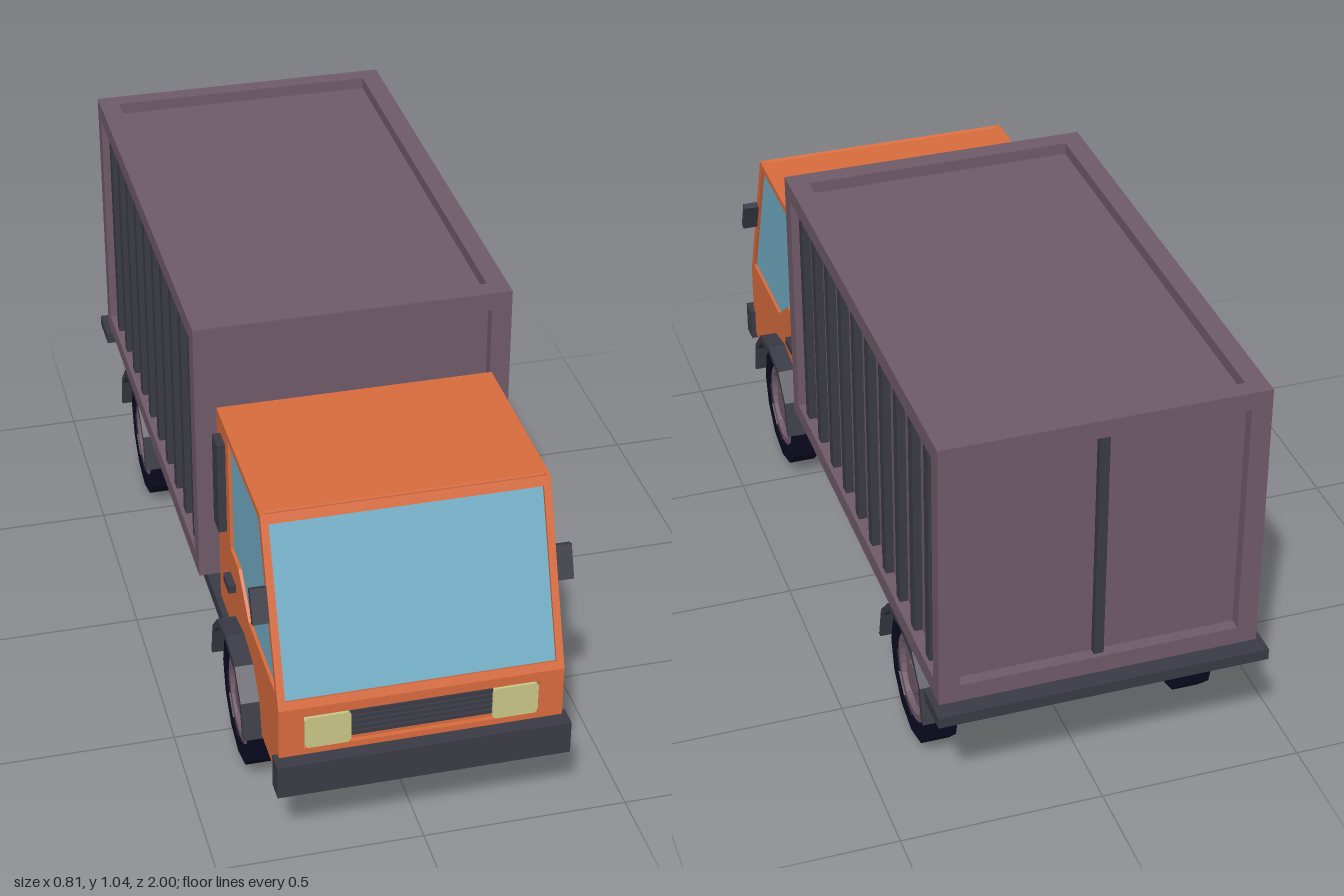
import * as THREE from 'three';

const mat = (name, color) => {
  const m = new THREE.MeshStandardMaterial({ color, flatShading: true });
  m.name = name;
  return m;
};

export function createModel() {
  const orange = mat('cab orange', 0xd96c3e);
  const mauve = mat('cargo mauve', 0x705b69);
  const grey = mat('trim dark grey', 0x3b3b46);
  const navy = mat('tyre navy', 0x0d0b24);
  const glass = mat('window blue', 0x72aec6);
  const lamp = mat('headlight cream', 0xcbc888);

  const truck = new THREE.Group();
  truck.name = 'truck';

  const group = (name) => {
    const g = new THREE.Group();
    g.name = name;
    truck.add(g);
    return g;
  };
  const add = (parent, name, geo, material) => {
    const mesh = new THREE.Mesh(geo, material);
    mesh.name = name;
    parent.add(mesh);
    return mesh;
  };
  // Box given by its extents
  const box = (parent, name, material, x0, x1, y0, y1, z0, z1) => {
    const geo = new THREE.BoxGeometry(x1 - x0, y1 - y0, z1 - z0);
    geo.translate((x0 + x1) / 2, (y0 + y1) / 2, (z0 + z1) / 2);
    return add(parent, name, geo, material);
  };
  const extrude = (pts, depth, hole) => {
    const toVec = (p) => new THREE.Vector2(p[0], p[1]);
    const shape = new THREE.Shape(pts.map(toVec));
    if (hole) shape.holes.push(new THREE.Path(hole.map(toVec)));
    return new THREE.ExtrudeGeometry(shape, { depth, bevelEnabled: false });
  };
  // Side outline in (z, y), extruded from x0 to x1
  const sideExtrude = (pts, x0, x1, hole) =>
    extrude(pts, x1 - x0, hole).rotateY(-Math.PI / 2).translate(x1, 0, 0);
  const rect = (x0, x1, y0, y1) => [[x0, y0], [x1, y0], [x1, y1], [x0, y1]];
  // Extents on the given side, lowest first
  const span = (s, a, b) => (s > 0 ? [a, b] : [-b, -a]);

  // Cab: inner core with outer skins that frame the windows
  const cab = group('cab');
  const arch = [[0.332, 0.29], [0.448, 0.29], [0.51, 0.342], [0.603, 0.36],
    [0.696, 0.342], [0.755, 0.28], [0.775, 0.2]];
  const core = [...arch, [0.951, 0.2], [0.951, 0.402], [0.783, 0.835], [0.332, 0.835]];
  const skin = [...arch, [0.963, 0.2], [0.963, 0.405], [0.796, 0.835], [0.332, 0.835]];
  const sideWindow = [[0.78, 0.817], [0.453, 0.817], [0.463, 0.517],
    [0.55, 0.517], [0.657, 0.437], [0.93, 0.437]];
  add(cab, 'cabCore', sideExtrude(core, -0.328, 0.328), orange);

  const tilt = Math.atan2(0.167, 0.43);
  for (const s of [1, -1]) {
    add(cab, 'cabSide', sideExtrude(skin, ...span(s, 0.328, 0.34), sideWindow), orange);
    add(cab, 'sideWindow', sideExtrude(sideWindow, ...span(s, 0.328, 0.332)), glass);
    box(cab, 'airIntake', grey, ...span(s, 0.335, 0.36), 0.542, 0.788, 0.37, 0.426);
    box(cab, 'doorHandle', grey, ...span(s, 0.335, 0.358), 0.425, 0.446, 0.458, 0.517);
    const mirror = add(cab, 'mirror', new THREE.BoxGeometry(0.04, 0.084, 0.018), grey);
    mirror.position.set(s * 0.359, 0.636, 0.862);
    mirror.rotation.x = -tilt;
  }

  // Sloped windscreen frame and glass
  const screen = group('windscreen');
  screen.position.set(0, 0.401, 0.952);
  screen.rotation.x = -tilt;
  const pane = rect(-0.322, 0.322, 0.021, 0.437);
  add(screen, 'windscreenFrame', extrude(rect(-0.328, 0.328, 0, 0.461), 0.012, pane), orange);
  add(screen, 'windscreenGlass', extrude(pane, 0.004), glass);

  // Nose panel, grille and headlights
  const nose = group('nose');
  const panel = extrude(rect(-0.328, 0.328, 0.2, 0.405), 0.012, rect(-0.28, 0.28, 0.288, 0.38));
  add(nose, 'nosePanel', panel.translate(0, 0, 0.951), orange);
  for (let i = 0; i < 5; i++) {
    const y = 0.309 + i * 0.0148;
    box(nose, 'grilleBar', grey, -0.17, 0.17, y - 0.005, y + 0.005, 0.95, 0.96);
  }
  const c = 0.008;
  const lampShape = [[-0.055 + c, -0.043], [0.055 - c, -0.043], [0.055, -0.043 + c],
    [0.055, 0.043 - c], [0.055 - c, 0.043], [-0.055 + c, 0.043],
    [-0.055, 0.043 - c], [-0.055, -0.043 + c]];
  for (const s of [1, -1]) {
    add(nose, 'headlight', extrude(lampShape, 0.014).translate(s * 0.224, 0.333, 0.951), lamp);
  }
  box(truck, 'frontBumper', grey, -0.352, 0.352, 0.185, 0.272, 0.948, 1);

  // Cargo box: recessed walls inside a beam frame
  const cargo = group('cargoBox');
  const [B, T, zb, zf] = [0.345, 1.045, -0.957, 0.318];
  box(cargo, 'cargoWalls', mauve, -0.36, 0.36, B, T - 0.03, zb + 0.03, zf - 0.03);
  for (const s of [1, -1]) {
    const [x0, x1] = span(s, 0.34, 0.39);
    for (const [y0, y1] of [[B, B + 0.045], [T - 0.045, T]]) {
      box(cargo, 'lengthBeam', mauve, x0, x1, y0, y1, zb, zf);
    }
    for (const [z0, z1] of [[zb, zb + 0.045], [zf - 0.05, zf]]) {
      box(cargo, 'cornerPost', mauve, x0, x1, B + 0.045, T - 0.045, z0, z1);
    }
    for (let i = 0; i < 10; i++) {
      const z = 0.211 - i * 0.1165;
      box(cargo, 'sideRib', grey, ...span(s, 0.35, 0.38), B + 0.045, T - 0.045, z - 0.015, z + 0.015);
    }
  }
  for (const [z0, z1] of [[zb, zb + 0.045], [zf - 0.05, zf]]) {
    box(cargo, 'lowerCrossBeam', mauve, -0.34, 0.34, B, B + 0.045, z0, z1);
    box(cargo, 'upperCrossBeam', mauve, -0.34, 0.34, T - 0.045, T, z0, z1);
  }
  box(cargo, 'rearDoorBar', grey, -0.012, 0.012, B + 0.045, T - 0.045, zb + 0.012, zb + 0.035);

  // Chassis rails, spacers and rear bumper
  const chassis = group('chassis');
  for (const s of [1, -1]) {
    const [x0, x1] = span(s, 0.29, 0.355);
    box(chassis, 'rail', grey, x0, x1, 0.252, 0.29, -0.5, 0.445);
    for (const [z0, z1, inset] of [[0.05, 0.19, 0], [-0.1, 0.05, 0.01], [-0.24, -0.1, 0]]) {
      box(chassis, 'railSpacer', grey, ...span(s, 0.29 + inset, 0.355 - inset), 0.3, 0.346, z0, z1);
    }
  }
  box(chassis, 'rearBumper', grey, -0.405, 0.405, 0.314, 0.343, -1, -0.893);

  // Wheels with dished rims, axles and mudguards
  const turn = (pts, sides) =>
    new THREE.LatheGeometry(pts.map((p) => new THREE.Vector2(p[0], p[1])), sides);
  const tyreProfile = [[0, -0.035], [0.162, -0.035], [0.162, 0.035], [0.118, 0.035], [0.11, 0.02]];
  const rimProfile = [[0.114, 0.022], [0.111, 0.032], [0.094, 0.032], [0.085, 0.02],
    [0.045, 0.02], [0.04, 0.032], [0, 0.032]];
  const guardOuter = [[-0.182, 0.015], [-0.16, 0.108], [-0.098, 0.172], [0, 0.192],
    [0.098, 0.172], [0.16, 0.108], [0.182, 0.015]];
  const guardInner = [[0.166, 0.02], [0.146, 0.1], [0.09, 0.155], [0, 0.173],
    [-0.09, 0.155], [-0.146, 0.1], [-0.166, 0.02]];

  const axles = [['front', 0.603, 0.173, 0.002], ['rear', -0.628, 0.162, -0.012]];
  for (const [name, z, y, lift] of axles) {
    const set = group(name + 'Axle');
    set.position.set(0, y, z);
    const shaft = new THREE.CylinderGeometry(0.03, 0.03, 0.6, 10).rotateZ(Math.PI / 2);
    add(set, 'axleShaft', shaft, navy);
    for (const s of [1, -1]) {
      const wheel = new THREE.Group();
      wheel.name = name + 'Wheel';
      wheel.position.x = s * 0.325;
      wheel.rotation.z = -s * Math.PI / 2;
      set.add(wheel);
      add(wheel, 'tyre', turn(tyreProfile, 12), navy);
      add(wheel, 'rim', turn(rimProfile, 24), mauve);
      const guard = sideExtrude([...guardOuter, ...guardInner], ...span(s, 0.29, 0.385));
      add(set, 'mudguard', guard.translate(0, lift, 0), grey);
    }
  }
  return truck;
}
